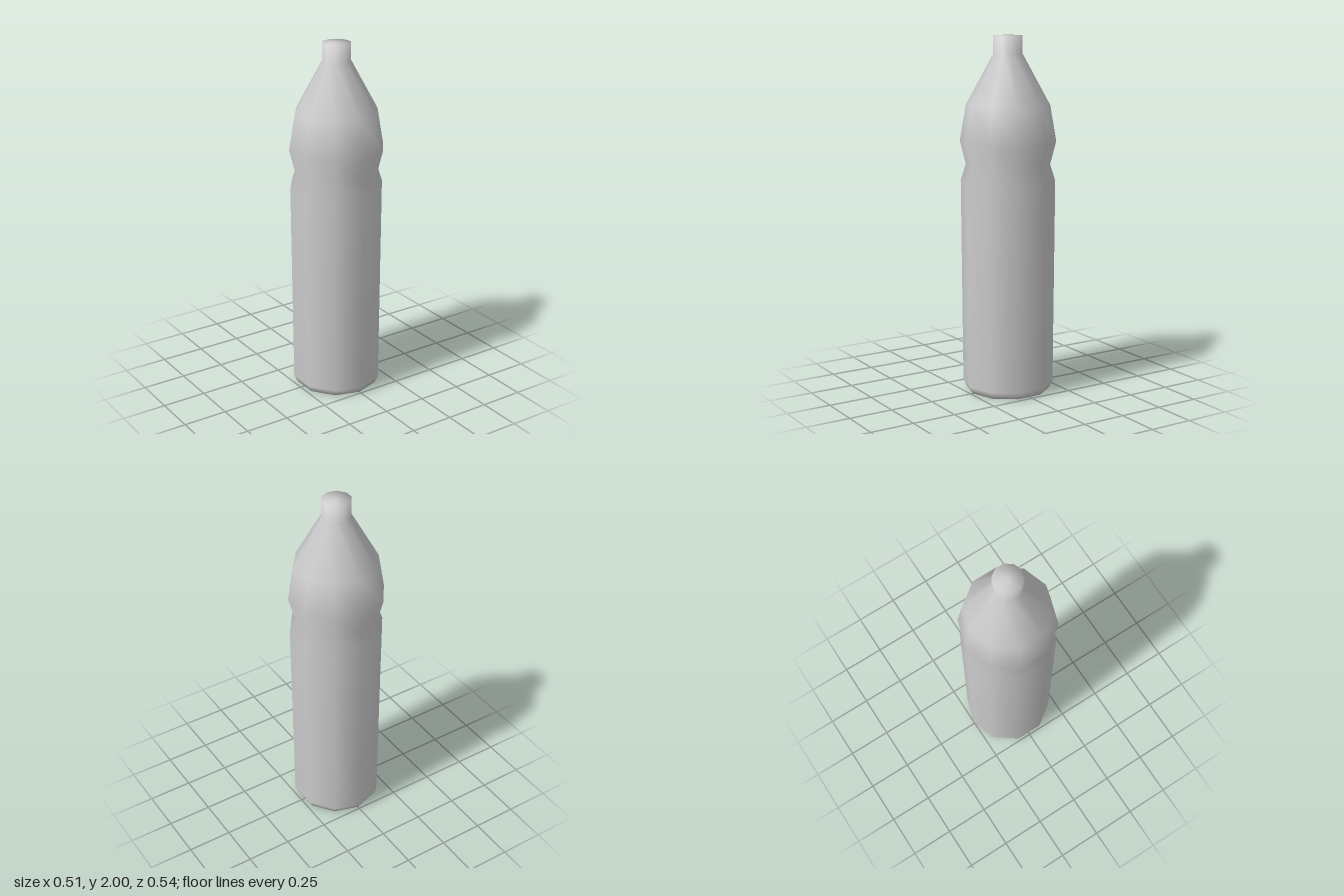
import * as THREE from 'three';

const SIDES = 10;

// Half-profile of the bottle from base centre to mouth centre: [radius, height]
const PROFILE = [
  [0, 0],
  [0.235, 0],       // base rim
  [0.256, 0.04],    // base bevel
  [0.264, 1.2],     // straight body
  [0.235, 1.29],    // grip waist
  [0.268, 1.42],    // shoulder bulge
  [0.234, 1.62],    // shoulder
  [0.081, 1.9],     // neck base
  [0.081, 2],       // neck rim
  [0, 2],
];

export function createModel() {
  const model = new THREE.Group();
  model.name = 'bottle';

  const material = new THREE.MeshStandardMaterial({ color: 0xcccccc });
  const points = PROFILE.map(([r, y]) => new THREE.Vector2(r, y));

  // Ten-sided smooth-shaded bottle, closed at base and mouth
  const body = new THREE.Mesh(new THREE.LatheGeometry(points, SIDES), material);
  body.name = 'bottleBody';
  model.add(body);

  return model;
}
